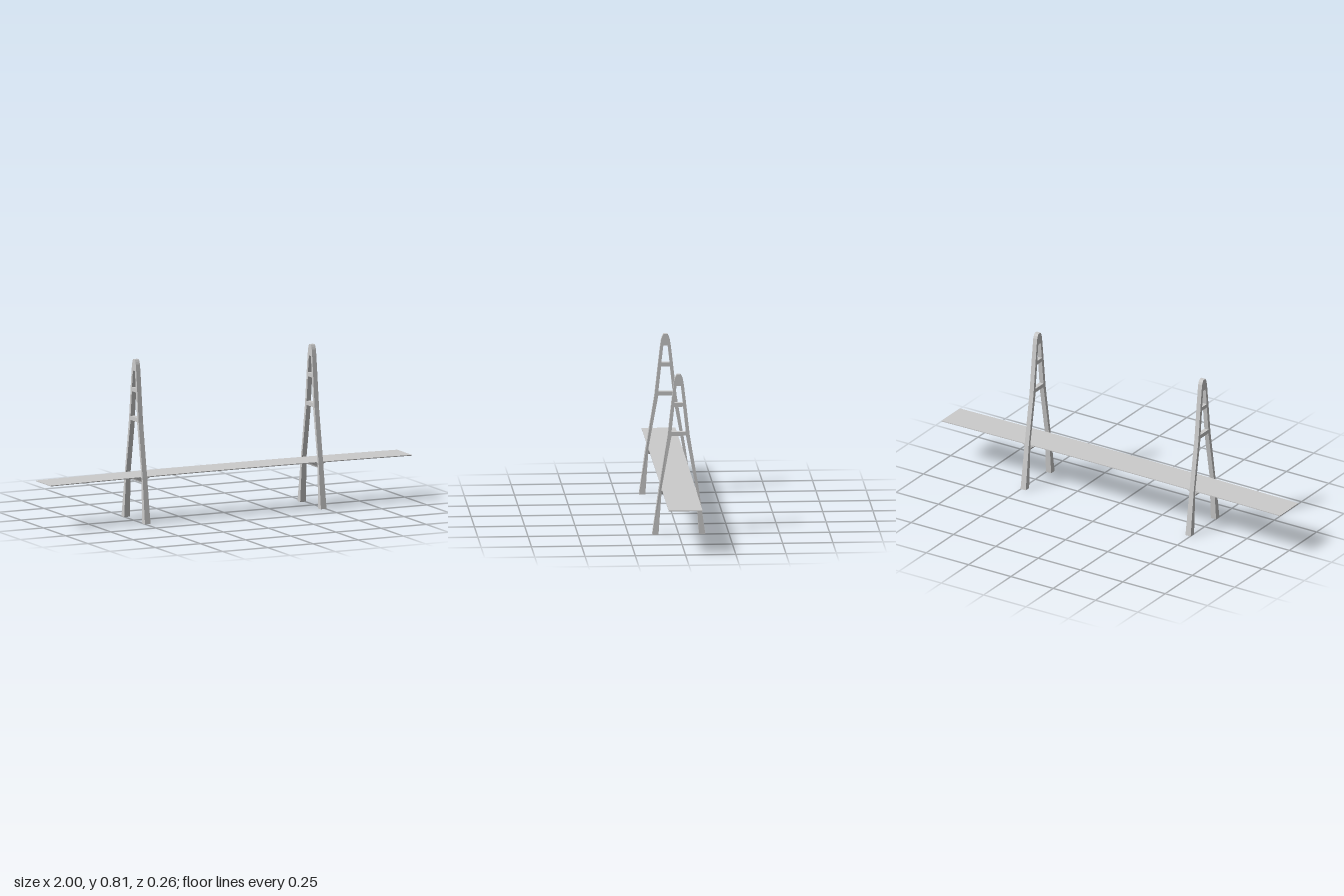
import * as THREE from 'three';

const material = new THREE.MeshStandardMaterial({ color: 0xcccccc, flatShading: true });
const V = (p) => new THREE.Vector2(p[0], p[1]);

// Closed outline from one half, mirrored across the vertical axis
const mirrored = (half) => [
  ...half.map(V),
  ...half.slice().reverse().map(([a, b]) => V([-a, b])),
];

function part(geometry, name) {
  const mesh = new THREE.Mesh(geometry, material);
  mesh.name = name;
  return mesh;
}

function extrude(shape, depth) {
  const g = new THREE.ExtrudeGeometry(shape, { depth, bevelEnabled: false });
  return g.translate(0, 0, -depth / 2);
}

// A-shaped tower frame, splayed legs below the deck and two cross beams above
function towerFrame() {
  const shape = new THREE.Shape(mirrored([
    [0.086, 0.21], [0.101, 0], [0.132, 0], [0.116, 0.115], [0.1, 0.23], [0.055, 0.5],
    [0.036, 0.67], [0.026, 0.755], [0.021, 0.787], [0.016, 0.8], [0.01, 0.811],
  ]));
  const holes = [
    [[0.086, 0.23], [0.036, 0.5]],
    [[0.036, 0.52], [0.022, 0.647]],
    [[0.021, 0.667], [0.011, 0.753]],
  ];
  holes.forEach((h) => shape.holes.push(new THREE.Path(mirrored(h))));
  const g = extrude(shape, 2);
  // Thickness tapers from the feet up to the deck, then stays nearly even
  const pos = g.attributes.position;
  for (let i = 0; i < pos.count; i++) {
    const y = pos.getY(i);
    const half = y < 0.23 ? 0.0155 - 0.003 * (y / 0.23) : 0.0125 - 0.001 * ((y - 0.23) / 0.58);
    pos.setZ(i, pos.getZ(i) * half);
  }
  g.rotateY(-Math.PI / 2);
  g.computeVertexNormals();
  return g;
}

// Flared beam that carries the deck between the legs
function deckBeam() {
  const shape = new THREE.Shape(mirrored([
    [0.012, 0.203], [0.0145, 0.21], [0.02, 0.218], [0.028, 0.224], [0.037, 0.2275],
  ]));
  return extrude(shape, 0.172);
}

// Thin, slightly arched road deck
function deck() {
  const n = 16;
  const top = [], bottom = [];
  for (let i = 0; i <= n; i++) {
    const x = -1 + (2 * i) / n;
    const y = 0.232 - 0.006 * x * x;
    top.push(V([x, y]));
    bottom.push(V([x, y - 0.004]));
  }
  return extrude(new THREE.Shape([...bottom, ...top.reverse()]), 0.168);
}

export function createModel() {
  const bridge = new THREE.Group();
  bridge.name = 'bridge';
  bridge.add(part(deck(), 'deck'));
  for (const side of [-1, 1]) {
    const tower = new THREE.Group();
    tower.name = side < 0 ? 'rightTower' : 'leftTower';
    tower.add(part(towerFrame(), 'towerFrame'), part(deckBeam(), 'deckBeam'));
    tower.position.x = side * 0.487;
    bridge.add(tower);
  }
  return bridge;
}
